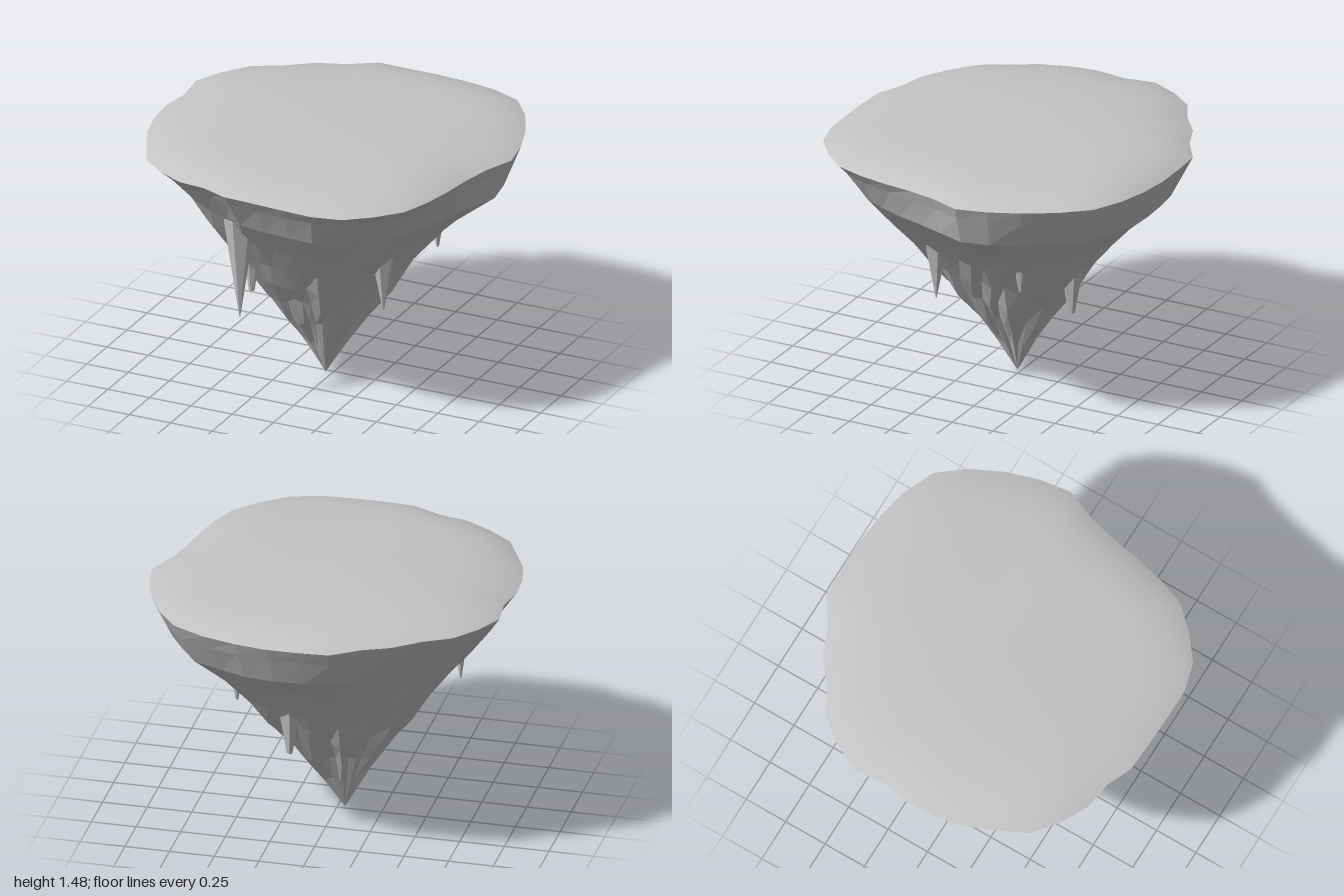
import * as THREE from 'three';

const stone = new THREE.MeshStandardMaterial({ color: 0xc4c4c4 });
stone.name = 'grey stone';

// Rim outline as x, z pairs, anticlockwise seen from above
const RIM = [
  1, -.15, .97, -.33, .91, -.51, .82, -.69, .70, -.84, .52, -.92, .34, -.96, .16, -.98, -.03, -.98,
  -.20, -.975, -.35, -.875, -.51, -.81, -.65, -.70, -.80, -.62, -.91, -.48, -.99, -.32, -.97, -.14, -1, .03,
  -.99, .20, -.95, .37, -.88, .52, -.80, .68, -.66, .79, -.51, .87, -.35, .895, -.20, .96, -.02, .97,
  .16, .975, .33, .975, .50, .93, .64, .82, .76, .69, .82, .53, .86, .36, .89, .18, .93, .02];
const N = RIM.length / 2;
const CX = -.04, CZ = .02;

// Underside rings: height, outline scale, radial jitter, height jitter, share of the uneven shoulder
const RINGS = [
  [1.32, .95, .006, .003, .3], [1.16, .85, .012, .004, 1], [.99, .69, .016, .008, .25],
  [.82, .55, .022, .015, 0], [.67, .435, .035, .025, 0], [.52, .325, .05, .03, 0],
  [.37, .215, .07, .03, 0], [.2, .105, .1, .02, 0]];

function seeded(seed) {
  return () => {
    seed = (seed * 16807) % 2147483647;
    return seed / 1073741823.5 - 1; // -1 to 1
  };
}

const rimHeight = (x, z) => 1.395 - .014 * z + .008 * Math.sin(4 * x + 2 * z);

// Joins rings of N points, listed from bottom to top, into a skin
function skin(rings, flat) {
  const index = [];
  for (let r = 0; r < rings.length - 1; r++) {
    for (let i = 0; i < N; i++) {
      const j = (i + 1) % N, a = r * N, b = a + N;
      if (r > 0 || !flat) index.push(a + i, a + j, b + j);
      if (r < rings.length - 2 || flat) index.push(a + i, b + j, b + i);
    }
  }
  let geo = new THREE.BufferGeometry();
  geo.setAttribute('position', new THREE.Float32BufferAttribute(rings.flat(2), 3));
  geo.setIndex(index);
  if (flat) geo = geo.toNonIndexed();
  geo.computeVertexNormals();
  return geo;
}

const ring = (pointAt) => Array.from({ length: N }, (_, i) => pointAt(RIM[2 * i], RIM[2 * i + 1], i));

function add(group, name, geometry) {
  const mesh = new THREE.Mesh(geometry, stone);
  mesh.name = name;
  group.add(mesh);
  return mesh;
}

export function createModel() {
  const group = new THREE.Group();
  group.name = 'floatingIsland';
  const rnd = seeded(4711);

  // Faceted, fluted cone of rock under the rim
  const flute = ring(() => rnd());
  const rock = [ring(() => [CX, 0, CZ])];
  for (const [y, s, jr, jy, shoulder] of [...RINGS].reverse()) {
    rock.push(ring((x, z, i) => {
      const bulge = .03 * Math.cos(4 * Math.atan2(z, x)) + .045 * x - .02 * z;
      const k = s * (1 + jr * (.6 * rnd() + flute[i])) + shoulder * bulge;
      return [CX + (x - CX) * k, y + jy * rnd(), CZ + (z - CZ) * k];
    }));
  }
  rock.push(ring((x, z) => [x, rimHeight(x, z), z]));
  add(group, 'rockUnderside', skin(rock, true));

  // Smooth, gently rolling ground on top
  const ground = [1, .96, .9, .82, .72, .6, .45, .3, .15, 0].map((t) => ring((x, z) => {
    const px = x * t, pz = z * t;
    const roll = .009 * Math.sin(3.2 * px + 1.3 * pz + 2.6) - .014 * pz + .006 * Math.cos(5 * pz - 2 * px);
    const rim = rimHeight(x, z);
    return [px, rim + (1.468 + roll - rim) * (1 - t ** 6), pz];
  }));
  add(group, 'ground', skin(ground, false));

  // Hanging spikes: x, z, top, tip, top radius, tip radius
  const spikes = [
    [-.255, .645, 1.13, .54, .09, .003], [-.29, .425, .9, .6, .055, .016], [.43, .27, .95, .56, .08, .003],
    [-.655, .15, 1.04, .79, .045, .006], [.16, -.42, .84, .51, .075, .018], [.49, -.28, .88, .73, .035, .008]];
  spikes.forEach(([x, z, top, tip, r, tipR], n) => {
    const shaft = new THREE.CylinderGeometry(r, tipR, top - tip, 6, 1).toNonIndexed();
    shaft.computeVertexNormals();
    const spike = add(group, 'hangingSpike' + (n + 1), shaft);
    spike.position.set(x, (top + tip) / 2, z);
    spike.rotation.y = n * 1.1;
  });
  return group;
}
